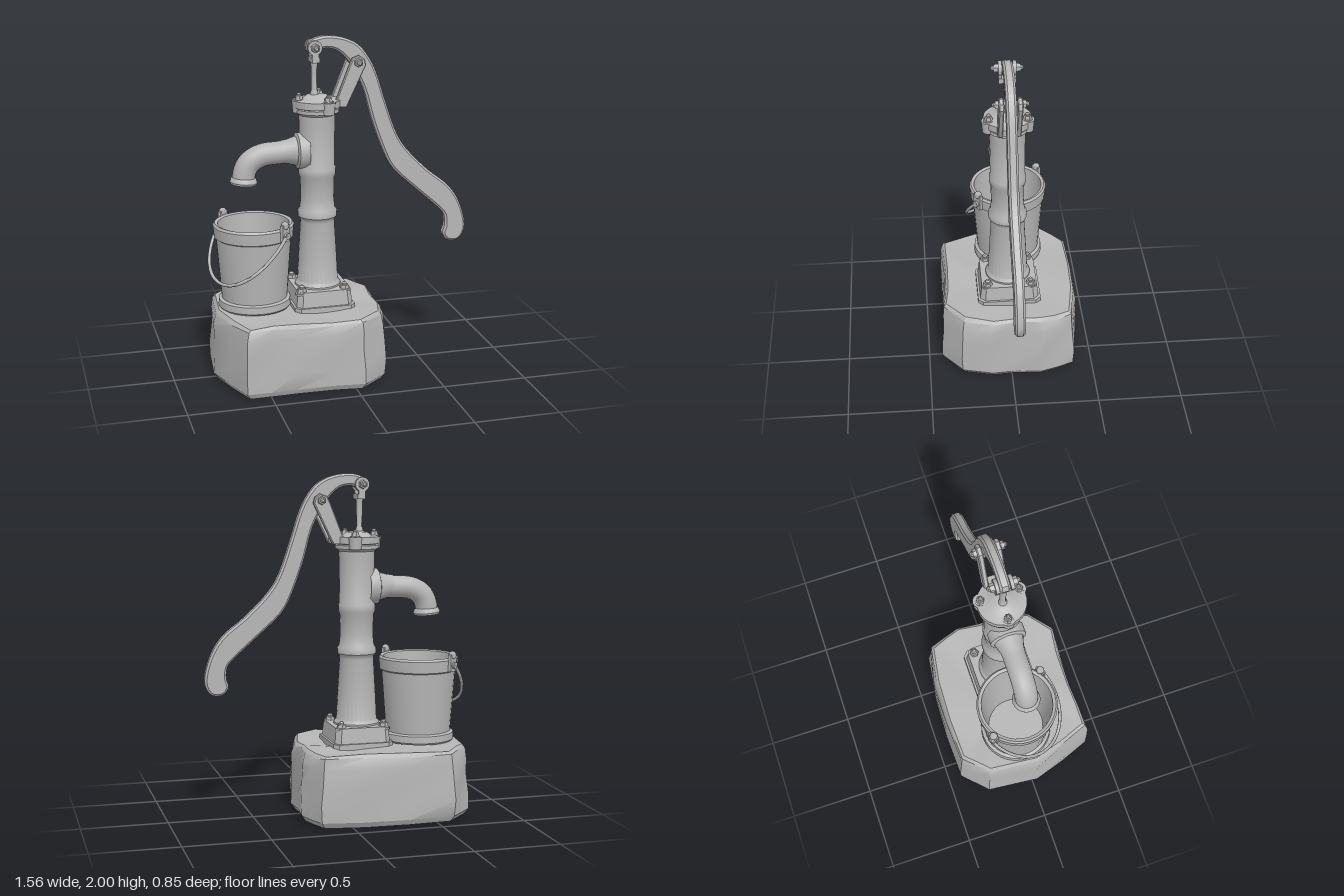
import * as THREE from 'three';
import { toCreasedNormals } from 'three/addons/utils/BufferGeometryUtils.js';

const grey = new THREE.MeshStandardMaterial({ color: 0xb6b6b6, side: THREE.DoubleSide });
grey.name = 'plain grey';

const V = (x, y, z) => new THREE.Vector3(x, y, z);

function add(parent, name, geo, x = 0, y = 0, z = 0, crease = 0.6) {
  const mesh = new THREE.Mesh(toCreasedNormals(geo, crease), grey);
  mesh.name = name;
  mesh.position.set(x, y, z);
  parent.add(mesh);
  return mesh;
}

const lathe = (pts, n = 28) => new THREE.LatheGeometry(pts.map(p => new THREE.Vector2(...p)), n);

// Flat bevelled plate in the xy plane, centred on z = 0
function plate(shape, depth, bevel) {
  const geo = new THREE.ExtrudeGeometry(shape, {
    depth: depth - 2 * bevel, bevelEnabled: true, bevelThickness: bevel,
    bevelSize: bevel, bevelOffset: -bevel, bevelSegments: 1, curveSegments: 10,
  });
  return geo.translate(0, 0, bevel - depth / 2);
}

// Hex bolt with washer and rounded tip, pointing up
function bolt(parent, name, x, y, z, s = 1) {
  const g = new THREE.Group();
  g.name = name;
  add(g, 'washer', new THREE.CylinderGeometry(0.038, 0.038, 0.012, 14), 0, 0.006, 0);
  add(g, 'nut', new THREE.CylinderGeometry(0.026, 0.03, 0.03, 6), 0, 0.025, 0);
  add(g, 'tip', lathe([[0.016, 0.035], [0.016, 0.05], [0.009, 0.058], [0, 0.06]], 10));
  g.position.set(x, y, z);
  g.scale.setScalar(s);
  parent.add(g);
  return g;
}

// Cross pin along z with a nut on each end
function pin(parent, name, x, y, half) {
  const rod = add(parent, name, new THREE.CylinderGeometry(0.02, 0.02, half * 2, 12), x, y, 0);
  rod.rotation.x = Math.PI / 2;
  for (const s of [-1, 1]) bolt(parent, name + 'Nut', x, y, s * (half - 0.025), 0.9).rotation.x = s * Math.PI / 2;
}

// Rough boulder: one outline repeated at several heights
function rockGeometry() {
  const outline = [[-0.74, -0.28], [-0.67, -0.35], [-0.6, -0.42], [-0.33, -0.43], [-0.06, -0.42], [0.18, -0.38],
    [0.22, -0.28], [0.25, -0.18], [0.235, -0.03], [0.245, 0.12], [0.2, 0.3], [0.05, 0.42], [-0.12, 0.4],
    [-0.35, 0.395], [-0.5, 0.4], [-0.64, 0.4], [-0.71, 0.22], [-0.77, 0.03]];
  const rings = [[0, 0], [0.95, 0], [1, 0.035], [1.0, 0.13], [0.985, 0.24], [0.98, 0.34],
    [0.955, 0.4], [0.92, 0.418], [0.55, 0.41], [0, 0.42]];
  const pos = [], idx = [], n = outline.length, cx = -0.26;
  rings.forEach(([s, y], i) => outline.forEach(([x, z], j) => {
    const side = i > 2 && i < 6 ? 1 : 0;
    const k = s * (1 + side * 0.016 * Math.sin(j * 2.3 + i * 1.1));
    const dy = s > 0.5 && y > 0.38 ? 0.008 * Math.sin(j * 1.9 + i) : 0;
    pos.push(cx + (x - cx) * k, y + dy, z * k);
  }));
  for (let i = 0; i < rings.length - 1; i++) for (let j = 0; j < n; j++) {
    const a = i * n + j, b = i * n + (j + 1) % n, c = a + n, d = b + n;
    if (rings[i][0]) idx.push(a, c, b);
    if (rings[i + 1][0]) idx.push(b, c, d);
    else idx.push(a, c, b);
  }
  const geo = new THREE.BufferGeometry();
  geo.setAttribute('position', new THREE.Float32BufferAttribute(pos, 3));
  geo.setIndex(idx);
  return geo;
}

function makeBucket() {
  const g = new THREE.Group();
  g.name = 'bucket';
  add(g, 'bucketShell', lathe([[0, 0], [0.205, 0], [0.212, 0.01], [0.21, 0.05], [0.192, 0.058], [0.219, 0.42], [0.231, 0.428],
    [0.236, 0.495], [0.226, 0.508], [0.208, 0.502], [0.203, 0.43], [0.165, 0.05], [0, 0.05]], 32));
  // Bail hanging against the side, with its ears
  const ax = V(0.6, 0, 0.8), out = V(-0.8, 0, 0.6), pts = [];
  for (let i = 0; i <= 12; i++) {
    const t = Math.PI * i / 12;
    pts.push(V(0, 0.47 - 0.28 * Math.sin(t), 0)
      .addScaledVector(ax, 0.258 * Math.cos(t)).addScaledVector(out, 0.262 * Math.sin(t)));
  }
  add(g, 'bail', new THREE.TubeGeometry(new THREE.CatmullRomCurve3(pts), 36, 0.01, 7), 0, 0, 0, 1.2);
  for (const s of [-1, 1]) {
    const ear = new THREE.Group();
    ear.name = 'bailEar';
    add(ear, 'earPlate', new THREE.BoxGeometry(0.06, 0.1, 0.02), 0, 0, 0);
    add(ear, 'earKnob', new THREE.SphereGeometry(0.024, 10, 8), 0, 0.045, 0, 1.2);
    add(ear, 'earRivet', new THREE.CylinderGeometry(0.02, 0.02, 0.03, 10), 0, -0.015, 0.01).rotation.x = Math.PI / 2;
    ear.position.copy(ax).multiplyScalar(s * 0.24).setY(0.48);
    ear.rotation.y = Math.atan2(ax.x * s, ax.z * s);
    g.add(ear);
  }
  g.position.set(-0.505, 0.42, -0.03);
  return g;
}

function makeSpout(cx) {
  const g = new THREE.Group();
  g.name = 'spout';
  const path = new THREE.CatmullRomCurve3([V(cx, 1.34, 0), V(-0.25, 1.34, 0), V(-0.36, 1.335, 0), V(-0.46, 1.325, 0),
    V(-0.53, 1.285, 0), V(-0.558, 1.23, 0), V(-0.565, 1.17, 0)]);
  add(g, 'spoutPipe', new THREE.TubeGeometry(path, 28, 0.066, 18), 0, 0, 0, 1);
  // Collar flaring into the barrel
  const collar = add(g, 'spoutCollar', lathe([[0.105, 0], [0.105, 0.06], [0.085, 0.068], [0.07, 0.12], [0.064, 0.16]], 20), cx - 0.06, 1.34, 0);
  collar.rotation.z = Math.PI / 2;
  // Hollow lip at the mouth
  const lip = add(g, 'spoutLip', lathe([[0.05, 0.06], [0.056, 0], [0.076, 0], [0.08, 0.012], [0.074, 0.03], [0.064, 0.04]], 20), -0.565, 1.165, 0);
  lip.rotation.z = -0.08;
  return g;
}

function makeLever() {
  const edge = [[-0.18, 1.97], [-0.1, 1.997], [0.01, 1.988], [0.105, 1.945], [0.17, 1.87], [0.22, 1.77], [0.275, 1.6],
    [0.34, 1.42], [0.41, 1.31], [0.54, 1.18], [0.655, 1.09], [0.725, 1.0], [0.768, 0.89], [0.778, 0.8], [0.74, 0.737],
    [0.675, 0.735], [0.64, 0.78], [0.653, 0.83], [0.645, 0.9], [0.59, 0.96], [0.46, 1.075], [0.33, 1.195], [0.265, 1.31],
    [0.195, 1.5], [0.145, 1.68], [0.09, 1.79], [0.035, 1.87], [-0.03, 1.92], [-0.105, 1.925], [-0.15, 1.89], [-0.19, 1.92]];
  const curve = new THREE.SplineCurve([...edge, edge[0]].map(p => new THREE.Vector2(...p)));
  return plate(new THREE.Shape(curve.getPoints(90).slice(0, -1)), 0.058, 0.012);
}

export function createModel() {
  const model = new THREE.Group();
  model.name = 'waterPump';
  const cx = -0.13;

  add(model, 'rock', rockGeometry(), 0, 0, 0, 0.5);
  model.add(makeBucket());

  // Stepped foot with corner bolts
  const foot = (w, d, h, y, taper) => {
    const s = new THREE.Shape(), c = 0.03;
    s.moveTo(-w + c, -d).lineTo(w - c, -d).lineTo(w, -d + c).lineTo(w, d - c)
      .lineTo(w - c, d).lineTo(-w + c, d).lineTo(-w, d - c).lineTo(-w, -d + c);
    const geo = new THREE.ExtrudeGeometry(s, { depth: h, bevelEnabled: false }).rotateX(-Math.PI / 2);
    const p = geo.attributes.position;
    for (let i = 0; i < p.count; i++) if (p.getY(i) > h / 2) p.setXYZ(i, p.getX(i) * taper, h, p.getZ(i) * taper);
    add(model, 'foot', geo, -0.125, y, 0, 0.3);
  };
  foot(0.18, 0.19, 0.035, 0.405, 1);
  foot(0.168, 0.178, 0.1, 0.43, 0.94);
  for (const x of [-1, 1]) for (const z of [-1, 1]) bolt(model, 'footBolt', -0.13 + x * 0.128, 0.51, z * 0.13);

  // Barrel with its rings and head flange
  add(model, 'barrel', lathe([[0.135, 0.5], [0.135, 0.54], [0.12, 0.56], [0.112, 0.72], [0.1, 0.92], [0.103, 0.935],
    [0.115, 0.95], [0.115, 0.98], [0.103, 1.0], [0.097, 1.06], [0.1, 1.18], [0.109, 1.2], [0.109, 1.235], [0.102, 1.25],
    [0.104, 1.5], [0.106, 1.55], [0.128, 1.565], [0.128, 1.585], [0.12, 1.59], [0.137, 1.595], [0.137, 1.635],
    [0.085, 1.64], [0.06, 1.66], [0.03, 1.665], [0, 1.665]]), cx, 0, 0);
  for (const [x, z] of [[-0.105, 0], [0.04, 0.11], [0.04, -0.11]]) {
    add(model, 'flangeLug', new THREE.CylinderGeometry(0.042, 0.036, 0.07, 14), cx + x, 1.6, z);
    bolt(model, 'flangeBolt', cx + x, 1.63, z, 0.8);
  }
  model.add(makeSpout(cx));

  // Piston rod and fork gripping the lever
  add(model, 'pistonRod', lathe([[0.026, 1.64], [0.024, 1.67], [0.017, 1.69], [0.019, 1.83], [0.024, 1.86], [0, 1.87]], 12), -0.145, 0, 0);
  add(model, 'forkBridge', new THREE.BoxGeometry(0.045, 0.03, 0.1), -0.145, 1.865, 0);
  for (const s of [-1, 1]) {
    add(model, 'forkArm', new THREE.BoxGeometry(0.04, 0.08, 0.018), -0.147, 1.89, s * 0.041);
    add(model, 'forkEye', new THREE.CylinderGeometry(0.042, 0.042, 0.02, 16), -0.15, 1.935, s * 0.041).rotation.x = Math.PI / 2;
  }
  pin(model, 'rodPin', -0.15, 1.935, 0.065);

  // Lever with its two support arms
  add(model, 'lever', makeLever(), 0, 0, 0, 0.7);
  const arm = new THREE.Shape([[-0.045, 1.6], [0.035, 1.6], [0.145, 1.83], [0.135, 1.865], [0.105, 1.885],
    [0.065, 1.87], [0.045, 1.83]].map(p => new THREE.Vector2(...p)));
  for (const s of [-1, 1]) add(model, 'supportArm', plate(arm, 0.03, 0.006), 0, 0, s * 0.052);
  add(model, 'supportFoot', new THREE.BoxGeometry(0.1, 0.04, 0.134), -0.02, 1.615, 0);
  pin(model, 'leverPin', 0.098, 1.845, 0.075);

  return model;
}
